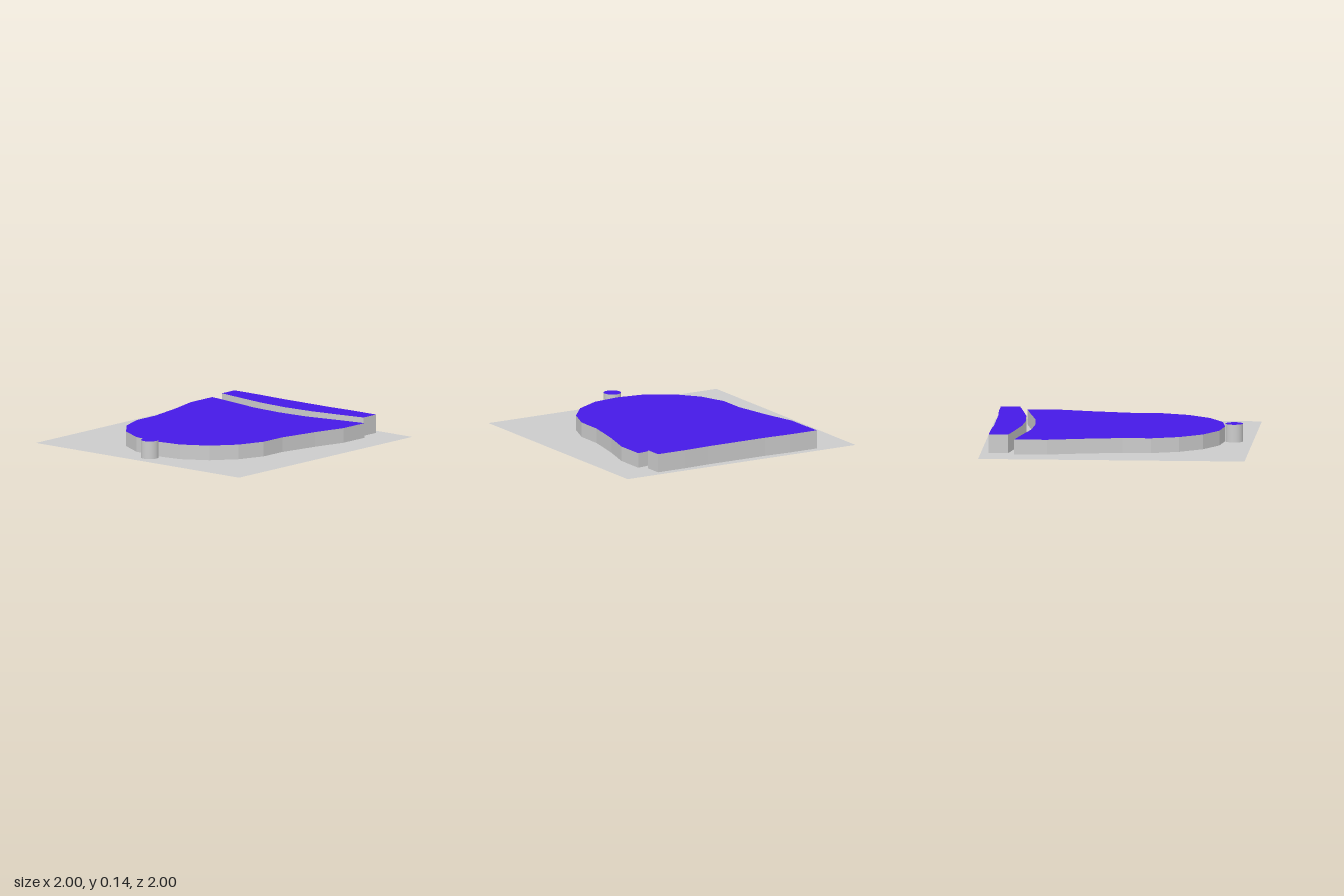
import * as THREE from 'three';

const grey = new THREE.MeshStandardMaterial({ color: 0xcccccc, side: THREE.DoubleSide });
const facetedGrey = new THREE.MeshStandardMaterial({ color: 0xcccccc, side: THREE.DoubleSide, flatShading: true });
const blue = new THREE.MeshStandardMaterial({ color: 0x4619e6, side: THREE.DoubleSide });

// Half outlines (x, distance from the centre line), mirrored into closed loops
const crownHalf = [
  [-0.79, 0], [-0.76, 0.215], [-0.65, 0.41], [-0.48, 0.55], [-0.275, 0.625], [-0.06, 0.625],
  [0.25, 0.685], [0.5, 0.75], [0.745, 0.75], [0.7, 0.5], [0.65, 0.255], [0.635, 0],
];
const brimHalf = [
  [0.705, 0], [0.72, 0.25], [0.76, 0.5], [0.795, 0.697], [0.94, 0.697], [0.94, 0.46], [0.93, 0.25], [0.93, 0],
];

// Counter-clockwise loop in the shape plane, where shape y becomes -z
function mirrorOutline(half) {
  const lower = half.map(([x, d]) => new THREE.Vector2(x, -d));
  const upper = half.slice(1, -1).reverse().map(([x, d]) => new THREE.Vector2(x, d));
  return [...lower, ...upper];
}

function addMesh(parent, name, geometry, material) {
  const mesh = new THREE.Mesh(geometry, material);
  mesh.name = name;
  parent.add(mesh);
  return mesh;
}

function flatSheet(shape, y) {
  return new THREE.ShapeGeometry(shape).rotateX(-Math.PI / 2).translate(0, y, 0);
}

// Vertical strip of quads along a closed outline
function wallGeometry(outline, height) {
  const positions = [];
  outline.forEach((a, i) => {
    const b = outline[(i + 1) % outline.length];
    positions.push(
      a.x, 0, -a.y, b.x, 0, -b.y, b.x, height, -b.y,
      a.x, 0, -a.y, b.x, height, -b.y, a.x, height, -a.y,
    );
  });
  const geometry = new THREE.BufferGeometry();
  geometry.setAttribute('position', new THREE.Float32BufferAttribute(positions, 3));
  geometry.computeVertexNormals();
  return geometry;
}

// Hollow raised panel, open underneath, with a coloured top
function raisedPanel(name, outline, height) {
  const group = new THREE.Group();
  group.name = name;
  addMesh(group, name + 'Wall', wallGeometry(outline, height), facetedGrey);
  addMesh(group, name + 'Top', flatSheet(new THREE.Shape(outline), height), blue);
  return group;
}

export function createModel() {
  const model = new THREE.Group();
  model.name = 'capRelief';
  const crown = mirrorOutline(crownHalf);
  const brim = mirrorOutline(brimHalf);

  // Thin square base, cut out beneath the hollow crown and brim
  const square = new THREE.Shape([[-1, -1], [1, -1], [1, 1], [-1, 1]].map(([x, y]) => new THREE.Vector2(x, y)));
  square.holes.push(new THREE.Path(crown), new THREE.Path(brim));
  addMesh(model, 'basePlate', flatSheet(square, 0), grey);

  model.add(raisedPanel('crown', crown, 0.112));
  model.add(raisedPanel('brim', brim, 0.14));

  // Round button at the tip of the crown
  const button = new THREE.Group();
  button.name = 'button';
  const radius = 0.066, height = 0.135;
  addMesh(button, 'buttonWall', new THREE.CylinderGeometry(radius, radius, height, 32, 1, true).translate(0, height / 2, 0), grey);
  addMesh(button, 'buttonTop', new THREE.CircleGeometry(radius, 32).rotateX(-Math.PI / 2).translate(0, height, 0), blue);
  button.position.x = -0.858;
  model.add(button);

  return model;
}
